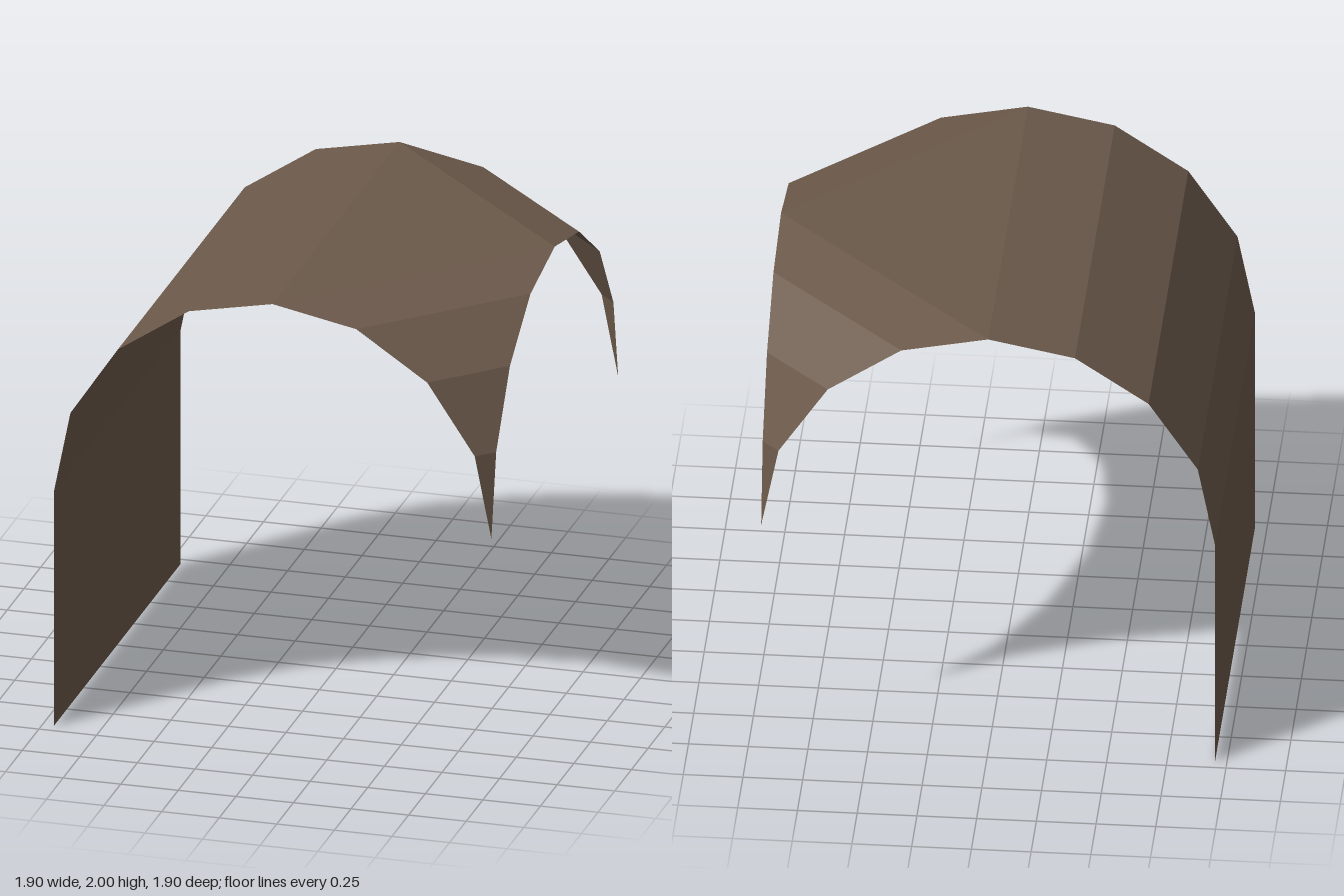
import * as THREE from 'three';

const R = 0.95;        // arch radius
const SPRING = 1.05;   // height where the arch begins
const STEPS = 4;       // facets per quarter arch

// Point on the quarter arch: i = 0 is the crown, i = STEPS the springing line
function arch(i) {
  const a = (i / STEPS) * Math.PI / 2;
  return [R * Math.sin(a), SPRING + R * Math.cos(a)];
}

// Flat-faceted strip of quads between two rows of points
function strip(rowA, rowB) {
  const pos = [];
  for (let i = 0; i < rowA.length - 1; i++) {
    const a = rowA[i], b = rowB[i], c = rowB[i + 1], d = rowA[i + 1];
    pos.push(...a, ...b, ...c, ...a, ...c, ...d);
  }
  const g = new THREE.BufferGeometry();
  g.setAttribute('position', new THREE.Float32BufferAttribute(pos, 3));
  g.computeVertexNormals();
  return g;
}

export function createModel() {
  const group = new THREE.Group();
  const stone = new THREE.MeshStandardMaterial({ color: 0x6b594a, side: THREE.DoubleSide });
  stone.name = 'brown stone';

  const add = (name, geometry) => {
    const mesh = new THREE.Mesh(geometry, stone);
    mesh.name = name;
    group.add(mesh);
  };
  const steps = Array.from({ length: STEPS + 1 }, (_, i) => arch(i));

  // Upright side wall
  add('sideWall', strip(
    [[-R, SPRING, -R], [-R, 0, -R]],
    [[-R, SPRING, R], [-R, 0, R]]));

  // Half barrel rising from the wall to the crown
  add('halfBarrel', strip(
    steps.map(([r, y]) => [-r, y, -R]),
    steps.map(([r, y]) => [-r, y, R])));

  // Flat triangle joining the crowns of the three arches
  const crown = new THREE.BufferGeometry();
  crown.setAttribute('position', new THREE.Float32BufferAttribute(
    [0, 2, -R, 0, 2, R, R, 2, 0], 3));
  crown.computeVertexNormals();
  add('crownTriangle', crown);

  // Corner webs: diagonal facets narrowing to a point at each springing
  const end = steps.map(([r, y]) => [r, y, R]);
  const side = steps.map(([r, y]) => [R, y, r]);
  const flip = (row) => row.map(([x, y, z]) => [x, y, -z]);
  add('frontCornerWeb', strip(end, side));
  add('backCornerWeb', strip(flip(side), flip(end)));

  return group;
}
